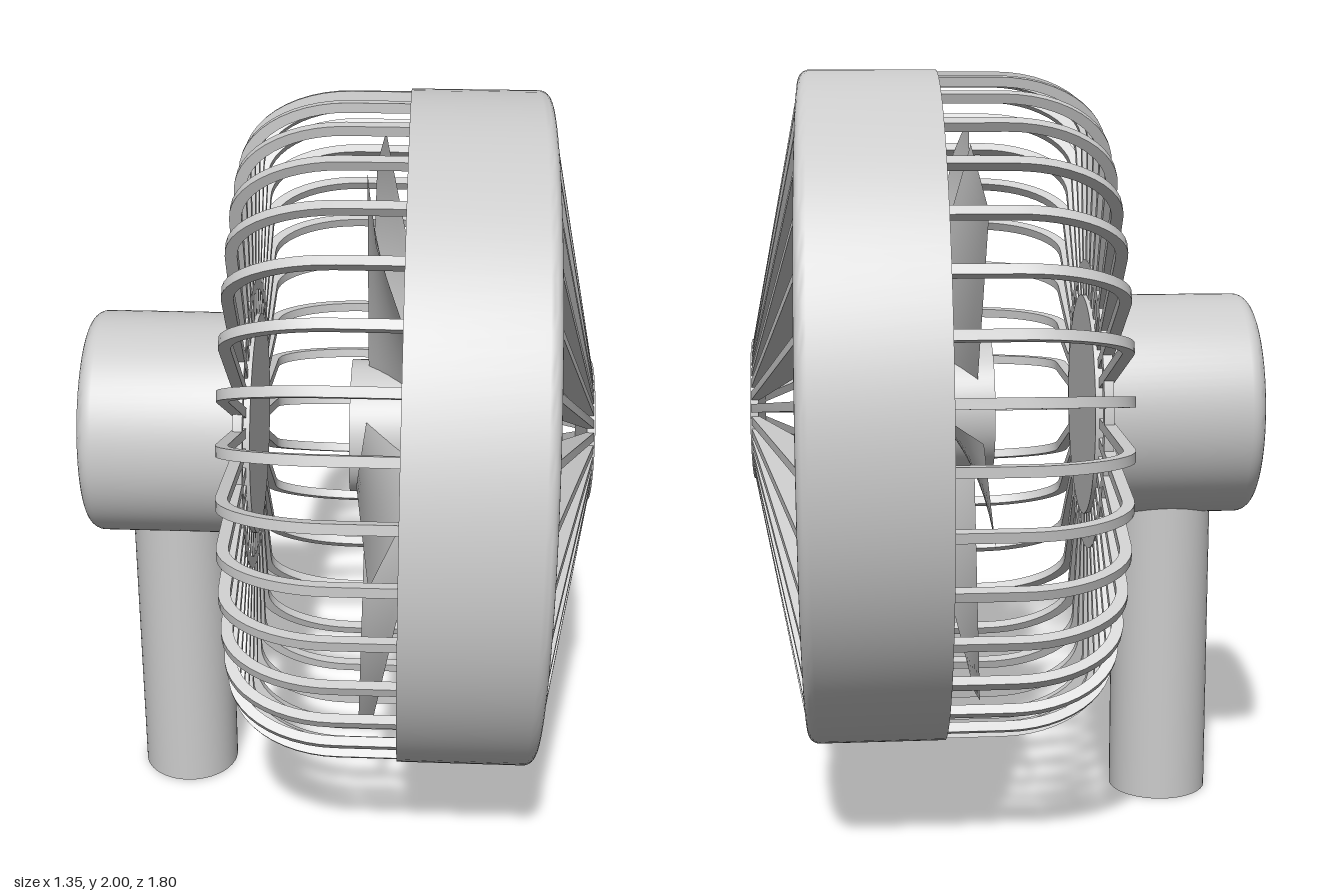
import * as THREE from 'three';
import { toCreasedNormals } from 'three/addons/utils/BufferGeometryUtils.js';

const RIBS = 36, BLADES = 6;
const { lerp } = THREE.MathUtils;

export function createModel() {
  const model = new THREE.Group();
  model.name = 'deskFan';
  const grey = new THREE.MeshStandardMaterial({ color: 0xcccccc });
  const thin = new THREE.MeshStandardMaterial({ color: 0xcccccc, side: THREE.DoubleSide });

  const add = (parent, name, geometry, material = grey) => {
    const mesh = new THREE.Mesh(geometry, material);
    mesh.name = name;
    parent.add(mesh);
    return mesh;
  };
  // Solid of revolution about x from [x, radius] points
  const turned = (points, segments = 96) => {
    const g = new THREE.LatheGeometry(points.map(([x, r]) => new THREE.Vector2(r, x)), segments);
    return toCreasedNormals(g.rotateZ(-Math.PI / 2), 0.6);
  };
  // Flat bar cut from an (x, radius) outline, centred on z = 0
  const bar = (points, width) => {
    const shape = new THREE.Shape(points.map(([x, r]) => new THREE.Vector2(x, r)));
    const g = new THREE.ExtrudeGeometry(shape, { depth: width, bevelEnabled: false });
    return toCreasedNormals(g.translate(0, 0, -width / 2), 0.6);
  };
  // Quarter round in (x, radius), from angle a to b
  const round = (cx, cr, rx, rr, a, b, n = 6) => Array.from({ length: n + 1 }, (_, i) => {
    const t = lerp(a, b, i / n);
    return [cx + rx * Math.cos(t), cr + rr * Math.sin(t)];
  });
  const P = Math.PI;

  // Post
  add(model, 'post', new THREE.CylinderGeometry(0.135, 0.135, 0.88, 48)).position.set(-0.445, 0.44, 0);

  // Everything else turns about the fan axis
  const head = new THREE.Group();
  head.name = 'fanHead';
  head.position.y = 1.1;
  model.add(head);

  // Motor housing with rounded back edge
  add(head, 'motorHousing', turned([
    [-0.675, 0], ...round(-0.635, 0.26, 0.04, 0.04, P, P / 2), [-0.22, 0.3], [-0.22, 0],
  ]));

  // Outer ring with rounded front edge
  add(head, 'outerRing', turned([
    [0.175, 0.85], [0.175, 0.9],
    ...round(0.505, 0.87, 0.03, 0.03, P / 2, 0), [0.535, 0.84], [0.5, 0.84], [0.175, 0.85],
  ], 128));

  // Rear cage: bent ribs and a small tie ring
  const outer = [[0.2, 0.895], ...round(0.02, 0.715, 0.28, 0.18, P / 2, P, 12), [-0.26, 0.29]];
  const inner = [[0.2, 0.87], ...round(0.02, 0.715, 0.25, 0.155, P / 2, P, 12), [-0.23, 0.29]];
  const ribGeometry = bar([...outer, ...inner.reverse()], 0.026);
  add(head, 'rearTieRing', turned([
    [-0.255, 0.365], [-0.255, 0.395], [-0.23, 0.395], [-0.23, 0.365], [-0.255, 0.365],
  ]));

  // Front grille: tapering fins that meet at a centre disc
  const finGeometry = bar([[0.668, 0.17], [0.653, 0.17], [0.41, 0.855], [0.535, 0.855], [0.668, 0.19]], 0.022);
  for (let i = 0; i < RIBS; i++) {
    const angle = (i / RIBS) * 2 * P;
    add(head, 'rearRib', ribGeometry).rotation.x = angle;
    add(head, 'frontFin', finGeometry).rotation.x = angle;
  }
  add(head, 'grilleDisc', turned([[0.65, 0], [0.65, 0.19], [0.672, 0.188], [0.672, 0]], 72));

  // Propeller hub and twisted blades, steep at the root and flat at the tip
  add(head, 'propellerHub', turned([[0.03, 0], [0.03, 0.18], [0.25, 0.18], [0.25, 0]], 64));
  const blade = new THREE.PlaneGeometry(1, 1, 6, 12);
  const pos = blade.attributes.position;
  for (let i = 0; i < pos.count; i++) {
    const u = pos.getX(i), v = pos.getY(i) + 0.5;
    pos.setXYZ(i,
      0.075 + (u + 0.5) * lerp(0.17, 0.03, v),
      lerp(0.15, 0.79, v),
      u * lerp(0.13, 0.26, v));
  }
  blade.computeVertexNormals();
  for (let i = 0; i < BLADES; i++) {
    add(head, 'blade', blade, thin).rotation.x = ((-36 + i * 60) * P) / 180;
  }
  return model;
}
